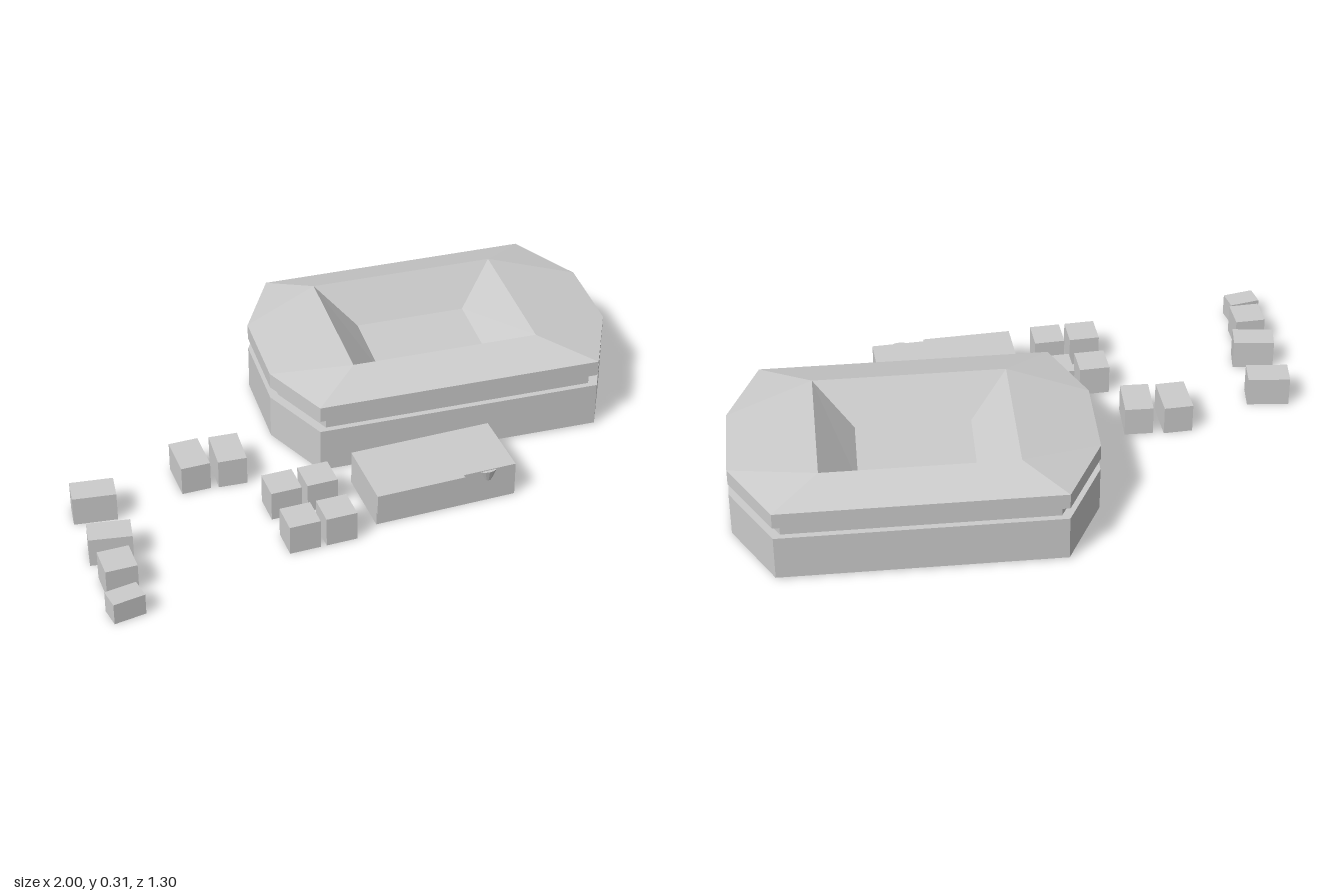
import * as THREE from 'three';

const material = new THREE.MeshStandardMaterial({ color: 0xcccccc, flatShading: true });

function add(parent, name, geometry, x = 0, y = 0, z = 0, turn = 0) {
  const mesh = new THREE.Mesh(geometry, material);
  mesh.name = name;
  mesh.position.set(x, y, z);
  mesh.rotation.y = turn;
  parent.add(mesh);
  return mesh;
}

// Skin a stack of equal-length loops of [x, y, z], running bottom to top
function loft(loops) {
  const pos = [];
  for (let k = 0; k + 1 < loops.length; k++) {
    const lo = loops[k], hi = loops[k + 1], n = lo.length;
    for (let i = 0; i < n; i++) {
      const j = (i + 1) % n;
      pos.push(...lo[i], ...hi[i], ...lo[j], ...lo[j], ...hi[i], ...hi[j]);
    }
  }
  const geometry = new THREE.BufferGeometry();
  geometry.setAttribute('position', new THREE.Float32BufferAttribute(pos, 3));
  geometry.computeVertexNormals();
  return geometry;
}

function stadiumGeometry() {
  const cx = 0.387, cz = -0.23;
  // Eight-sided plan, starting at the back left
  const plan = [[-0.06, -0.655], [0.88, -0.595], [1, -0.345], [0.98, -0.05],
    [0.85, 0.195], [-0.13, 0.13], [-0.225, -0.115], [-0.205, -0.42]];
  // Four-sided bowl rim and pitch; each corner serves two plan corners
  const rim = [[0.07, -0.51], [0.717, -0.467], [0.685, 0.035], [0.037, -0.008]];
  const pitch = [[0.195, -0.4], [0.583, -0.375], [0.56, -0.08], [0.172, -0.105]];
  const ring = (y, s) => plan.map(([x, z]) => [cx + (x - cx) * s, y, cz + (z - cz) * s]);
  const quad = (corners, y) => plan.map((_, i) => {
    const [x, z] = corners[Math.floor((i + 1) / 2) % 4];
    return [x, y, z];
  });
  return loft([
    ring(0.004, 0), ring(0.004, 1), ring(0.163, 1),      // base and outer wall
    ring(0.163, 0.95), ring(0.205, 0.95),                // recessed band
    ring(0.205, 1), ring(0.26, 1),                       // roof edge
    quad(rim, 0.306), quad(pitch, 0.18),                 // sloped roof and bowl
    ring(0.18, 0).map(() => [0.378, 0.18, -0.24]),       // pitch centre
  ]);
}

export function createModel() {
  const model = new THREE.Group();
  model.name = 'stadiumSite';

  add(model, 'stadium', stadiumGeometry());

  // Long entrance building with a raised front panel and a small rounded canopy
  const hall = new THREE.Group();
  hall.name = 'entranceHall';
  add(hall, 'hallBody', new THREE.BoxGeometry(0.49, 0.123, 0.24), 0.191, 0.0615, 0.342);
  add(hall, 'frontPanel', new THREE.BoxGeometry(0.306, 0.073, 0.014), 0.099, 0.0865, 0.467);
  const canopy = add(hall, 'canopy', new THREE.CylinderGeometry(0.03, 0.012, 0.04, 12), 0.34, 0.1, 0.458);
  canopy.scale.z = 0.5;
  model.add(hall);

  // Small outbuildings: x, z, width, depth, height, turn
  const huts = [
    [-0.907, 0.095, 0.145, 0.09, 0.104, -0.147],
    [-0.912, 0.32, 0.142, 0.087, 0.104, -0.18],
    [-0.927, 0.468, 0.105, 0.105, 0.104, 0],
    [-0.942, 0.607, 0.108, 0.07, 0.077, 0.15],
    [-0.555, 0.02, 0.1, 0.147, 0.104, 0],
    [-0.425, 0.031, 0.098, 0.145, 0.104, -0.08],
  ];
  for (const x of [-0.315, -0.19]) {
    for (const z of [0.27, 0.457]) huts.push([x, z, 0.105, 0.105, 0.106, 0]);
  }
  huts.forEach(([x, z, w, d, h, turn], i) =>
    add(model, `outbuilding${i + 1}`, new THREE.BoxGeometry(w, h, d), x, h / 2, z, turn));

  return model;
}
